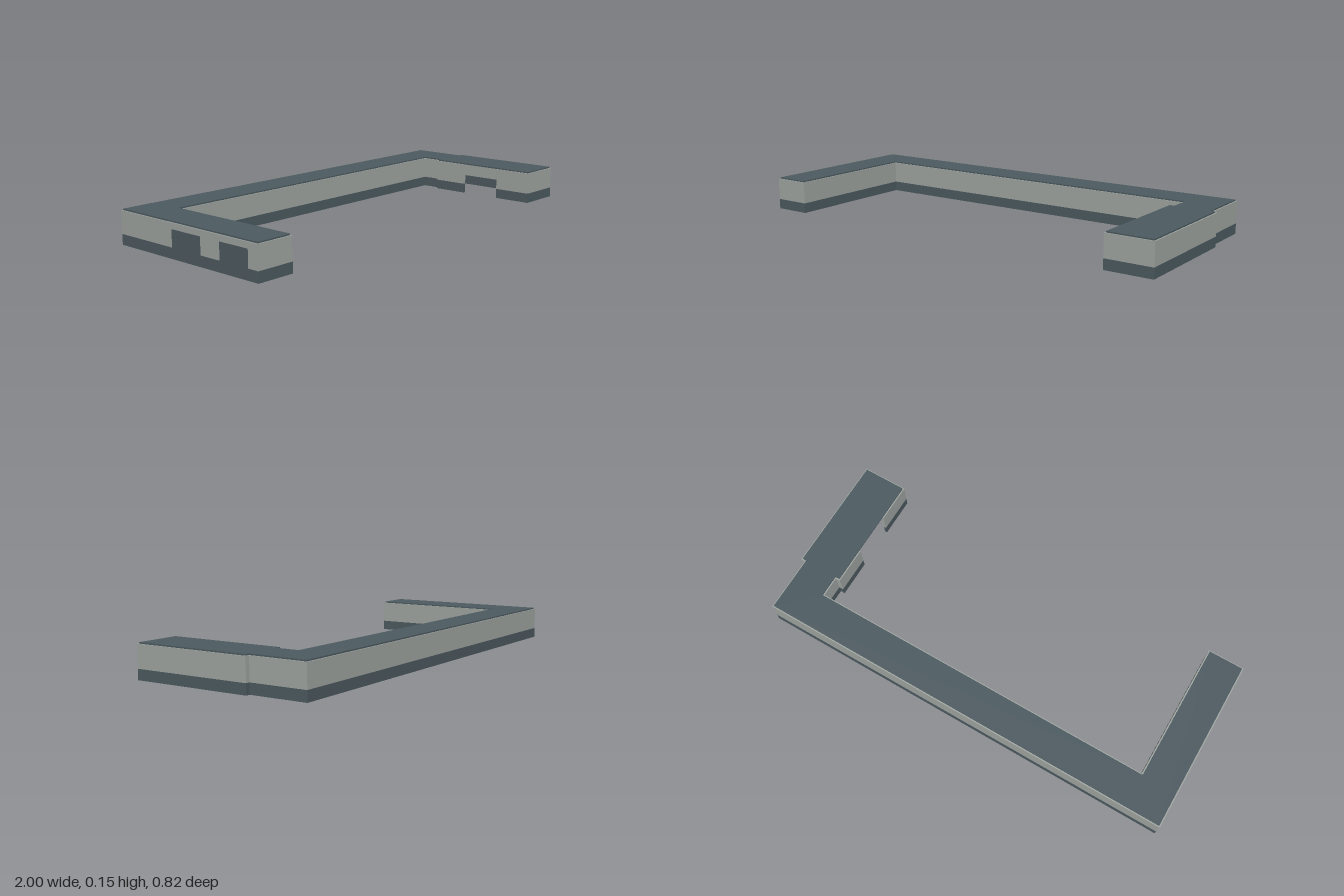
import * as THREE from 'three';

const T = 0.012;      // wall thickness
const BAND = 0.046;   // height of the dark plinth
const TOP = 0.146;    // top of the walls
const ROOF = 0.152;   // top of the roof slab

export function createModel() {
  const model = new THREE.Group();
  const slate = new THREE.MeshStandardMaterial({ color: 0x4d5b61 });
  slate.name = 'slate';
  const stone = new THREE.MeshStandardMaterial({ color: 0xa0a6a2 });
  stone.name = 'paleStone';

  const box = (name, mat, x0, x1, y0, y1, z0, z1, parent = model) => {
    const mesh = new THREE.Mesh(new THREE.BoxGeometry(x1 - x0, y1 - y0, z1 - z0), mat);
    mesh.position.set((x0 + x1) / 2, (y0 + y1) / 2, (z0 + z1) / 2);
    mesh.name = name;
    parent.add(mesh);
  };

  // A wall is a dark plinth with a pale upper part
  const wall = (name, x0, x1, z0, z1) => {
    const g = new THREE.Group();
    g.name = name;
    box(name + 'Plinth', slate, x0, x1, 0, BAND, z0, z1, g);
    box(name + 'Upper', stone, x0, x1, BAND, TOP, z0, z1, g);
    model.add(g);
  };

  // Back range
  wall('backWall', -1, 0.98, -0.408, -0.408 + T);
  wall('courtWall', -0.828, 0.807, -0.24 - T, -0.24);

  // Right wing
  wall('rightOuterWall', -1, -1 + T, -0.408 + T, 0.408 - T);
  wall('rightInnerWall', -0.828 - T, -0.828, -0.24 - T, 0.408 - T);
  wall('rightEndWall', -1, -0.828, 0.408 - T, 0.408);

  // Left wing: narrow neck, then a wider block with a gap in its inner wall
  wall('neckOuterWall', 0.98 - T, 0.98, -0.408 + T, -0.146);
  wall('neckInnerWall', 0.807, 0.807 + T, -0.24 - T, -0.146);
  wall('outerStepWall', 0.98 - T, 1, -0.146, -0.146 + T);
  wall('innerStepWall', 0.786, 0.807 + T, -0.146, -0.146 + T);
  wall('leftOuterWall', 1 - T, 1, -0.146 + T, 0.408 - T);
  wall('leftInnerWallRear', 0.786, 0.786 + T, -0.146 + T, 0.027);
  wall('leftInnerWallFront', 0.786, 0.786 + T, 0.225, 0.408 - T);
  wall('leftEndWall', 0.786, 1, 0.408 - T, 0.408);

  // Dark window panels, seen from both sides of the right outer wall
  for (const [z0, z1] of [[-0.08, 0.09], [0.2, 0.355]]) {
    box('windowOutside', slate, -1.001, -0.999, BAND, 0.12, z0, z1);
    box('windowInside', slate, -1 + T - 0.001, -1 + T + 0.001, BAND, 0.12, z0, z1);
  }

  // Flat roof slab, slightly inset from the wall faces
  const outline = [
    [-0.994, -0.402], [0.974, -0.402], [0.974, -0.14], [0.994, -0.14], [0.994, 0.402],
    [0.792, 0.402], [0.792, -0.14], [0.813, -0.14], [0.813, -0.246],
    [-0.834, -0.246], [-0.834, 0.402], [-0.994, 0.402],
  ];
  const shape = new THREE.Shape(outline.map(([x, z]) => new THREE.Vector2(x, -z)));
  const roofGeo = new THREE.ExtrudeGeometry(shape, { depth: ROOF - TOP, bevelEnabled: false });
  roofGeo.rotateX(-Math.PI / 2);
  const roof = new THREE.Mesh(roofGeo, slate);
  roof.position.y = TOP;
  roof.name = 'roof';
  model.add(roof);

  return model;
}
